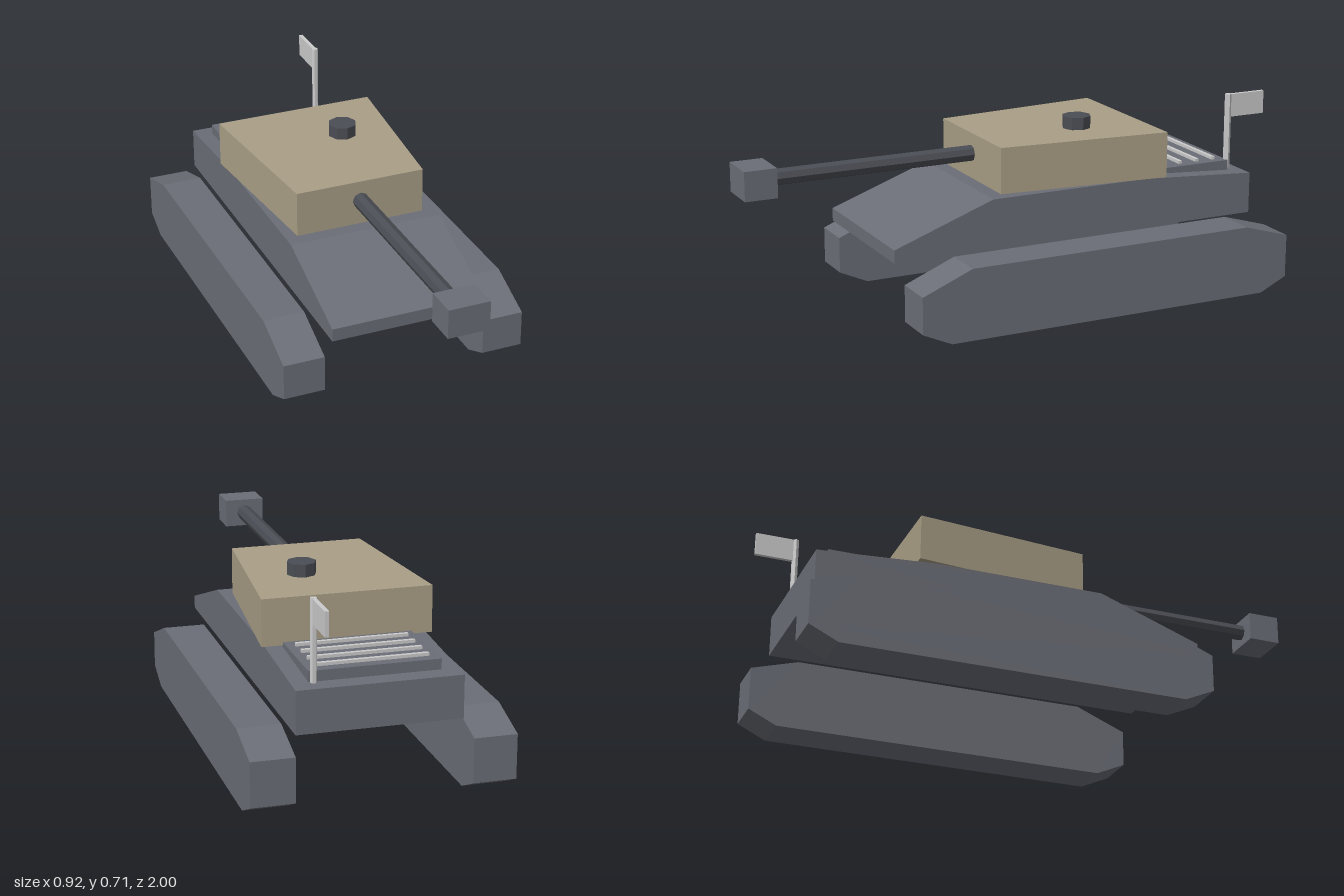
import * as THREE from 'three';

const mat = (color) => new THREE.MeshStandardMaterial({ color, flatShading: true });

export function createModel() {
  const tank = new THREE.Group();
  const steel = mat(0x6b6e77);
  const dark = mat(0x4a4d54);
  const tan = mat(0xaa9f86);
  const pale = mat(0xcccccc);

  const add = (name, geometry, material, x = 0, y = 0, z = 0) => {
    const mesh = new THREE.Mesh(geometry, material);
    mesh.name = name;
    mesh.position.set(x, y, z);
    tank.add(mesh);
    return mesh;
  };
  const box = (w, h, d) => new THREE.BoxGeometry(w, h, d);
  const extrude = (points, depth) => new THREE.ExtrudeGeometry(
    new THREE.Shape(points.map(([a, b]) => new THREE.Vector2(a, b))),
    { depth, bevelEnabled: false });
  // Side profile given as [z, y], swept across x and centred
  const sideProfile = (points, width) =>
    extrude(points, width).translate(0, 0, -width / 2).rotateY(-Math.PI / 2);

  // Hull with sloped front plate and slightly falling rear deck
  add('hull', sideProfile([
    [0.54, 0.262], [0.54, 0.31], [0.16, 0.445],
    [-0.46, 0.445], [-0.905, 0.415], [-0.905, 0.262],
  ], 0.58), steel);

  // Tracks
  const track = sideProfile([
    [0.40, 0], [0.51, 0.05], [0.51, 0.185], [0.32, 0.262],
    [-0.79, 0.262], [-0.965, 0.21], [-0.965, 0.05], [-0.86, 0],
  ], 0.154);
  add('leftTrack', track, steel, 0.383);
  add('rightTrack', track, steel, -0.383);

  // Turret, wider at the back; outline given as [x, -z]
  add('turret', extrude([
    [-0.245, -0.108], [0.245, -0.108], [0.305, 0.535], [-0.305, 0.535],
  ], 0.169).rotateX(-Math.PI / 2), tan, 0, 0.446, 0);
  add('hatch', new THREE.CylinderGeometry(0.053, 0.053, 0.047, 8), dark, 0.09, 0.637, -0.275);

  // Gun
  add('barrel', new THREE.CylinderGeometry(0.03, 0.03, 0.82, 8).rotateX(Math.PI / 2),
    dark, 0, 0.54, 0.49);
  add('muzzleBrake', box(0.152, 0.107, 0.12), steel, 0, 0.539, 0.94);

  // Engine deck with slats
  add('engineDeck', box(0.46, 0.05, 0.385), steel, 0, 0.432, -0.6525);
  for (let i = 0; i < 4; i++) {
    add('engineSlat', box(0.4, 0.014, 0.014), pale, 0, 0.461, -0.585 - i * 0.0715);
  }

  // Flag on a hexagonal pole
  add('flagPole', new THREE.CylinderGeometry(0.0125, 0.0125, 0.297, 6).rotateY(Math.PI / 2),
    pale, 0.2135, 0.5585, -0.849);
  add('flag', box(0.014, 0.086, 0.155), pale, 0.2135, 0.663, -0.9225);

  return tank;
}
